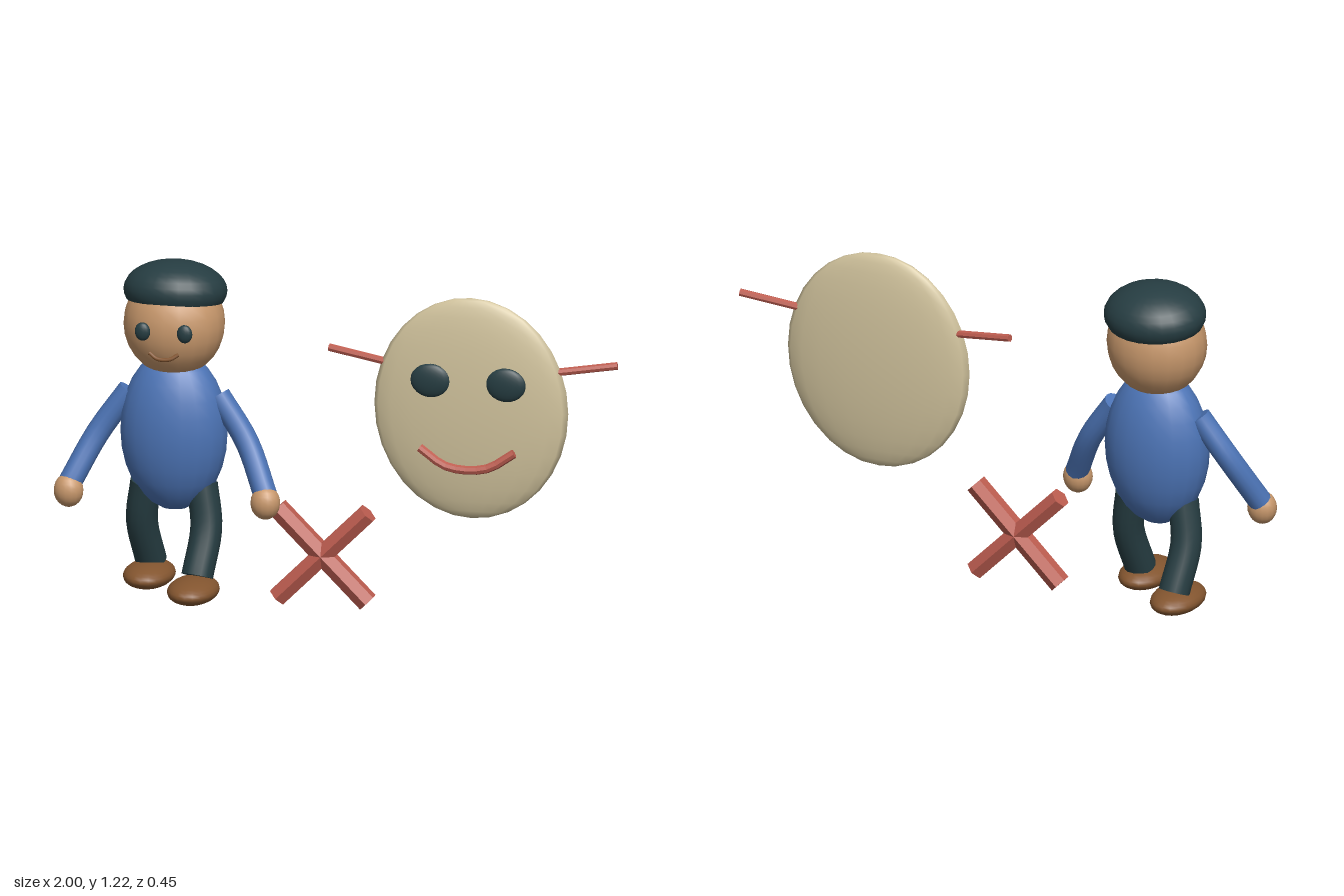
import * as THREE from 'three';

const mat = (name, color, extra = {}) => {
  const m = new THREE.MeshStandardMaterial({ color, ...extra });
  m.name = name;
  return m;
};

const V = (x, y, z) => new THREE.Vector3(x, y, z);

export function createModel() {
  const skin = mat('skin', 0xc8986c);
  const blue = mat('blue shirt', 0x4c74b6);
  const dark = mat('dark teal', 0x263d42, { side: THREE.DoubleSide });
  const brown = mat('brown shoe', 0x83552f);
  const red = mat('red', 0xbd5d50, { flatShading: true });
  const cream = mat('cream', 0xd0c29c);

  const add = (parent, name, geometry, material) => {
    const m = new THREE.Mesh(geometry, material);
    m.name = name;
    parent.add(m);
    return m;
  };

  // Stretched ball
  const ball = (parent, name, material, pos, radii, w = 20, h = 14) => {
    const g = new THREE.SphereGeometry(1, w, h).scale(...radii);
    const m = add(parent, name, g, material);
    m.position.set(...pos);
    return m;
  };

  // Capped cylinder bent along a smooth curve through the points
  const limb = (parent, name, material, points, r, sides = 14, steps = 10) => {
    const curve = new THREE.CatmullRomCurve3(points);
    const { tangents, normals, binormals } = curve.computeFrenetFrames(steps);
    const g = new THREE.CylinderGeometry(r, r, 1, sides, steps);
    const p = g.attributes.position, n = g.attributes.normal;
    for (let i = 0; i < p.count; i++) {
      const k = Math.round((p.getY(i) + 0.5) * steps);
      const place = (x, y, z) => V(0, 0, 0).addScaledVector(normals[k], x)
        .addScaledVector(tangents[k], y).addScaledVector(binormals[k], -z);
      const a = place(p.getX(i), 0, p.getZ(i)).add(curve.getPointAt(k / steps));
      const b = place(n.getX(i), n.getY(i), n.getZ(i)).normalize();
      p.setXYZ(i, a.x, a.y, a.z);
      n.setXYZ(i, b.x, b.y, b.z);
    }
    return add(parent, name, g, material);
  };

  const root = new THREE.Group();
  root.name = 'model';

  // Standing figure
  const figure = new THREE.Group();
  figure.name = 'figure';
  figure.position.set(-0.596, 0, 0);
  root.add(figure);
  ball(figure, 'torso', blue, [0, 0.61, -0.04], [0.193, 0.29, 0.138]);
  ball(figure, 'head', skin, [0, 1.0, -0.043], [0.18, 0.19, 0.164]);

  // Cap, open below and tilted back
  const cap = add(figure, 'cap',
    new THREE.SphereGeometry(1, 24, 10, 0, Math.PI * 2, 0, Math.PI * 0.62).scale(0.184, 0.107, 0.163), dark);
  cap.position.set(0, 1.115, -0.06);
  cap.rotation.x = -0.13;

  limb(figure, 'smile', brown,
    [V(-0.052, 0.927, 0.114), V(-0.022, 0.91, 0.125), V(0.022, 0.91, 0.125), V(0.052, 0.927, 0.114)], 0.007, 8);

  for (const s of [-1, 1]) {
    const side = s > 0 ? 'left' : 'right';
    ball(figure, side + 'Eye', dark, [s * 0.076, 1.005, 0.119], [0.028, 0.033, 0.017], 14, 10);
    limb(figure, side + 'Arm', blue,
      [V(s * 0.16, 0.745, -0.04), V(s * 0.268, 0.59, -0.015), V(s * 0.353, 0.42, 0.058)], 0.042);
    ball(figure, side + 'Hand', skin, [s * 0.355, 0.395, 0.068], [0.053, 0.06, 0.049], 16, 12);

    // Striding legs: the left one steps forward
    limb(figure, side + 'Leg', dark,
      [V(s * 0.1, 0.42, -0.04), V(s * 0.122, 0.27, -0.04 + s * 0.024), V(s * 0.104, 0.105, -0.04 + s * 0.086)], 0.056);
    ball(figure, side + 'Shoe', brown, [s * 0.1, 0.066, 0.002 + s * 0.086], [0.09, 0.045, 0.137]);
  }

  // Crossed bars
  const cross = new THREE.Group();
  cross.name = 'cross';
  cross.position.set(-0.06, 0.187, -0.042);
  root.add(cross);
  for (const s of [-1, 1]) {
    add(cross, 'crossBar', new THREE.CylinderGeometry(0.038, 0.038, 0.46, 6), red).rotation.z = s * Math.PI / 4;
  }

  // Smiling disc
  const disc = new THREE.Group();
  disc.name = 'smilingDisc';
  disc.position.set(0.476, 0, 0);
  root.add(disc);
  ball(disc, 'disc', cream, [0, 0.757, -0.043], [0.35, 0.401, 0.057], 20, 16);
  limb(disc, 'discSmile', red,
    [V(-0.17, 0.62, 0.024), V(-0.07, 0.56, 0.034), V(0.07, 0.56, 0.034), V(0.17, 0.62, 0.024)], 0.016, 8);
  for (const s of [-1, 1]) {
    ball(disc, 'discEye', dark, [s * 0.136, 0.862, 0.006], [0.072, 0.061, 0.021], 18, 12);
    limb(disc, 'discRod', red,
      [V(s * 0.3, 0.905, -0.046), V(s * 0.41, 0.92, -0.06), V(s * 0.52, 0.936, -0.075)], 0.014, 8, 1);
  }
  return root;
}
